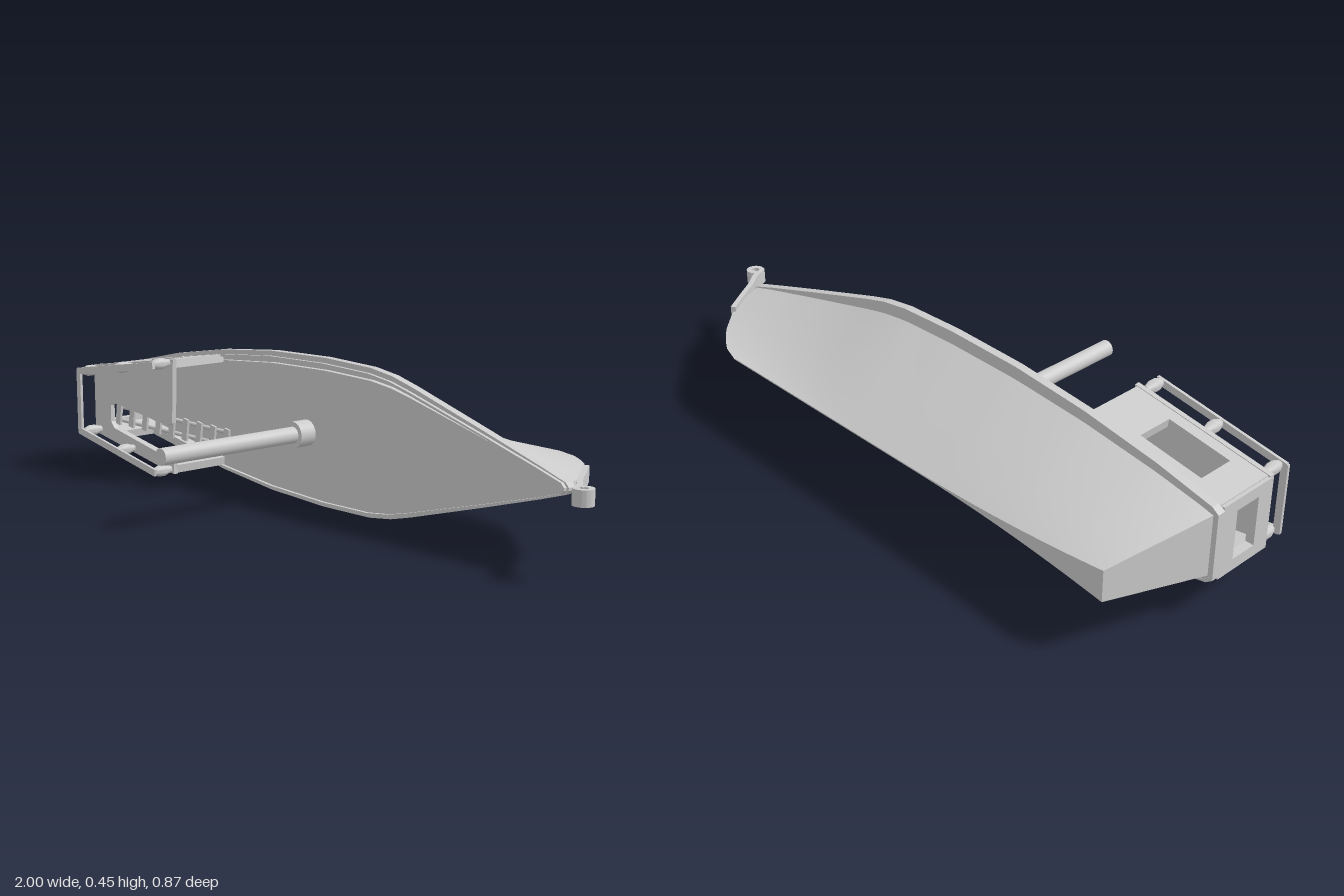
import * as THREE from 'three';
import { toCreasedNormals } from 'three/addons/utils/BufferGeometryUtils.js';

const CY = 0.226; // centre line of the ship, which lies with its deck facing +z
const grey = new THREE.MeshStandardMaterial({ color: 0xcccccc, side: THREE.DoubleSide });

// Half-width of the rim along the ship
const BEAM = [[-1, 0.1], [-0.98, 0.115], [-0.8, 0.155], [-0.55, 0.195], [-0.3, 0.219], [-0.05, 0.226],
  [0.15, 0.22], [0.24, 0.207], [0.32, 0.186], [0.6, 0.103], [0.8, 0.042], [0.88, 0.016], [0.89, 0.004]];
// Bow profile: depth fraction, x
const BOW = [[0, 0.88], [0.25, 0.85], [0.5, 0.8], [0.75, 0.725], [0.9, 0.66], [0.97, 0.615], [1, 0.57]];

function lookup(table, x) {
  for (let i = 1; i < table.length; i++) {
    const [x0, y0] = table[i - 1], [x1, y1] = table[i];
    if (x <= x1) return y0 + (y1 - y0) * Math.max(0, (x - x0) / (x1 - x0));
  }
  return table[table.length - 1][1];
}

function add(parent, name, geometry) {
  const mesh = new THREE.Mesh(geometry, grey);
  mesh.name = name;
  parent.add(mesh);
  return mesh;
}

// Deck outline with separate scales for the upper and lower side
function outline(up, down = up, sx = 1) {
  const upper = BEAM.map(([x, w]) => new THREE.Vector2(x * sx, CY + w * up));
  const lower = BEAM.map(([x, w]) => new THREE.Vector2(x * sx, CY - w * down)).reverse();
  return [...upper, ...lower];
}

// Flat plate in the xy plane between two z levels
function plate(points, z0, z1, hole) {
  const shape = new THREE.Shape(points);
  if (hole) shape.holes.push(new THREE.Path(hole));
  return new THREE.ExtrudeGeometry(shape, { depth: z1 - z0, bevelEnabled: false }).translate(0, 0, z0);
}

// Upright wall from a to b (xy) between two z levels, with a window [u0, u1, z0, z1]
function wall(a, b, z0, z1, thick, win) {
  const d = new THREE.Vector3(b[0] - a[0], b[1] - a[1], 0), len = d.length();
  d.normalize();
  const rect = (u0, u1, v0, v1) => [[u0, v0], [u1, v0], [u1, v1], [u0, v1]].map(p => new THREE.Vector2(...p));
  const shape = new THREE.Shape(rect(0, len, z0, z1));
  if (win) shape.holes.push(new THREE.Path(rect(...win)));
  const geo = new THREE.ExtrudeGeometry(shape, { depth: thick, bevelEnabled: false }).translate(0, 0, -thick / 2);
  const up = new THREE.Vector3(0, 0, 1);
  const m = new THREE.Matrix4().makeBasis(d, up, d.clone().cross(up)).setPosition(a[0], a[1], 0);
  return geo.applyMatrix4(m);
}

// V-shaped hull, flattening to a narrow trapezoid at the raked transom
function hullGeometry() {
  const NU = 48, NT = 14, ring = 2 * (NT + 1), pos = [], idx = [];
  for (let i = 0; i <= NU; i++) {
    const u = i / NU;
    const top = lookup(BEAM, -0.985 + u * 1.865) * 0.83;
    const keel = 0.002 + 0.045 * Math.max(0, 1 - u * 2.2) ** 2;
    for (let j = 0; j < ring; j++) {
      const side = j <= NT ? 1 : -1;
      const t = (side > 0 ? j : ring - 1 - j) / NT;
      const stern = -0.985 + 0.075 * t;
      const x = stern + (lookup(BOW, t) - stern) * u;
      pos.push(x, CY + side * (top * (1 - t) + Math.min(keel, top) * t), -0.12 - 0.315 * t);
    }
  }
  for (let i = 0; i < NU; i++) for (let j = 0; j < ring - 1; j++) {
    const a = i * ring + j, b = a + ring;
    idx.push(a, b, a + 1, b, b + 1, a + 1);
  }
  for (let j = 0; j < NT; j++) { // transom
    const k = ring - 1 - j;
    idx.push(j, j + 1, k, j + 1, k - 1, k);
  }
  const geo = new THREE.BufferGeometry();
  geo.setAttribute('position', new THREE.Float32BufferAttribute(pos, 3));
  geo.setIndex(idx);
  return toCreasedNormals(geo, 0.5);
}

// Bow ornament: a ribbon up the stem ending in a curl
function stemGeometry() {
  const pts = [[0.805, -0.27], [0.86, -0.19], [0.9, -0.13], [0.935, -0.088]].map(p => new THREE.Vector2(...p));
  for (let i = 0; i <= 12; i++) {
    const a = Math.PI * (0.75 - i / 12 * 1.7), r = 0.023 - i * 0.0007;
    pts.push(new THREE.Vector2(0.968 + r * Math.cos(a), -0.067 + r * Math.sin(a)));
  }
  const path = new THREE.SplineCurve(pts).getPoints(60);
  const edge = s => path.map((p, i) => {
    const n = path[Math.min(i + 1, 60)].clone().sub(path[Math.max(i - 1, 0)]).normalize();
    return new THREE.Vector2(p.x - n.y * s, p.y + n.x * s);
  });
  const shape = new THREE.Shape([...edge(0.008), ...edge(-0.008).reverse()]);
  const geo = new THREE.ExtrudeGeometry(shape, { depth: 0.044, bevelEnabled: false });
  return toCreasedNormals(geo.rotateX(Math.PI / 2).translate(0, CY + 0.024, 0), 0.5);
}

// Cylinder along z
function post(r, x, y, z0, z1) {
  return new THREE.CylinderGeometry(r, r, z1 - z0, 28).rotateX(Math.PI / 2).translate(x, y, (z0 + z1) / 2);
}

export function createModel() {
  const ship = new THREE.Group();
  ship.name = 'ship';

  // Hull, rim and deck
  add(ship, 'hull', hullGeometry());
  add(ship, 'underDeck', plate(outline(0.95, 0.95, 0.995), -0.124, -0.117));
  add(ship, 'rim', plate(outline(1), -0.125, -0.1, outline(0.9, 0.95, 0.99)));
  add(ship, 'bulwark', plate(outline(0.93, 0.96, 0.992), -0.1, -0.09, outline(0.89, 0.93, 0.985)));
  add(ship, 'deck', plate(outline(0.83, 0.95, 0.985), -0.118, -0.1));
  add(ship, 'stemOrnament', stemGeometry());

  // Mast
  add(ship, 'mast', post(0.025, -0.13, 0.215, -0.1, 0.435));
  add(ship, 'mastCollar', post(0.04, -0.13, 0.215, -0.1, -0.045));

  // Stern cabin
  const cabin = new THREE.Group();
  cabin.name = 'sternCabin';
  ship.add(cabin);
  for (const s of [1, -1]) {
    add(cabin, 'sideWall', wall([-0.985, CY + s * 0.1], [-0.545, CY + s * 0.168], -0.1, 0.09, 0.026,
      [0.095, 0.3, -0.063, 0.05]));
  }
  add(cabin, 'sternWall', wall([-0.985, CY + 0.11], [-0.985, CY - 0.11], -0.1, 0.09, 0.026,
    [0.035, 0.185, -0.045, 0.04]));
  const floor = [[-0.995, 0.34], [-0.995, 0.112], [-0.545, 0.043], [-0.545, 0.085], [-0.88, 0.14],
    [-0.9, 0.16], [-0.9, 0.215], [-0.87, 0.225], [-0.58, 0.195], [-0.55, 0.205], [-0.54, 0.41]];
  add(cabin, 'upperFloor', plate(floor.map(p => new THREE.Vector2(...p)), 0.085, 0.1));

  // Stairs from the upper floor down to the deck
  const stairs = new THREE.Group();
  stairs.name = 'stairs';
  const a = new THREE.Vector3(-0.88, 0.187, 0.08), b = new THREE.Vector3(-0.52, 0.133, -0.09);
  const slope = Math.atan2(b.y - a.y, b.x - a.x);
  for (let i = 0; i < 9; i++) {
    const step = add(stairs, 'step', new THREE.BoxGeometry(0.026, 0.072, 0.008));
    step.position.lerpVectors(a, b, i / 8);
    step.rotation.z = slope;
  }
  for (const s of [1, -1]) {
    const off = new THREE.Vector3(0, s * 0.022, -0.008);
    const path = new THREE.LineCurve3(a.clone().add(off), b.clone().add(off));
    add(stairs, 'stringer', new THREE.TubeGeometry(path, 1, 0.007, 4));
  }
  cabin.add(stairs);

  // Railing with turned balusters
  const railing = new THREE.Group();
  railing.name = 'railing';
  const profile = [[0, 0], [0.012, 0], [0.012, 0.008], [0.018, 0.025], [0.018, 0.043], [0.011, 0.062], [0, 0.068]];
  const baluster = toCreasedNormals(new THREE.LatheGeometry(profile.map(p => new THREE.Vector2(...p)), 14), 0.6)
    .rotateX(Math.PI / 2);
  for (const s of [1, -1]) {
    for (const [x, off] of [[-0.965, 0.101], [-0.77, 0.135], [-0.565, 0.17]]) {
      add(railing, 'baluster', baluster).position.set(x, CY + s * off, 0.1);
    }
    add(railing, 'sideRail', wall([-0.985, CY + s * 0.1], [-0.548, CY + s * 0.17], 0.163, 0.172, 0.022));
  }
  add(railing, 'sternRail', wall([-0.98, CY + 0.108], [-0.98, CY - 0.108], 0.163, 0.172, 0.022));
  cabin.add(railing);

  return ship;
}
